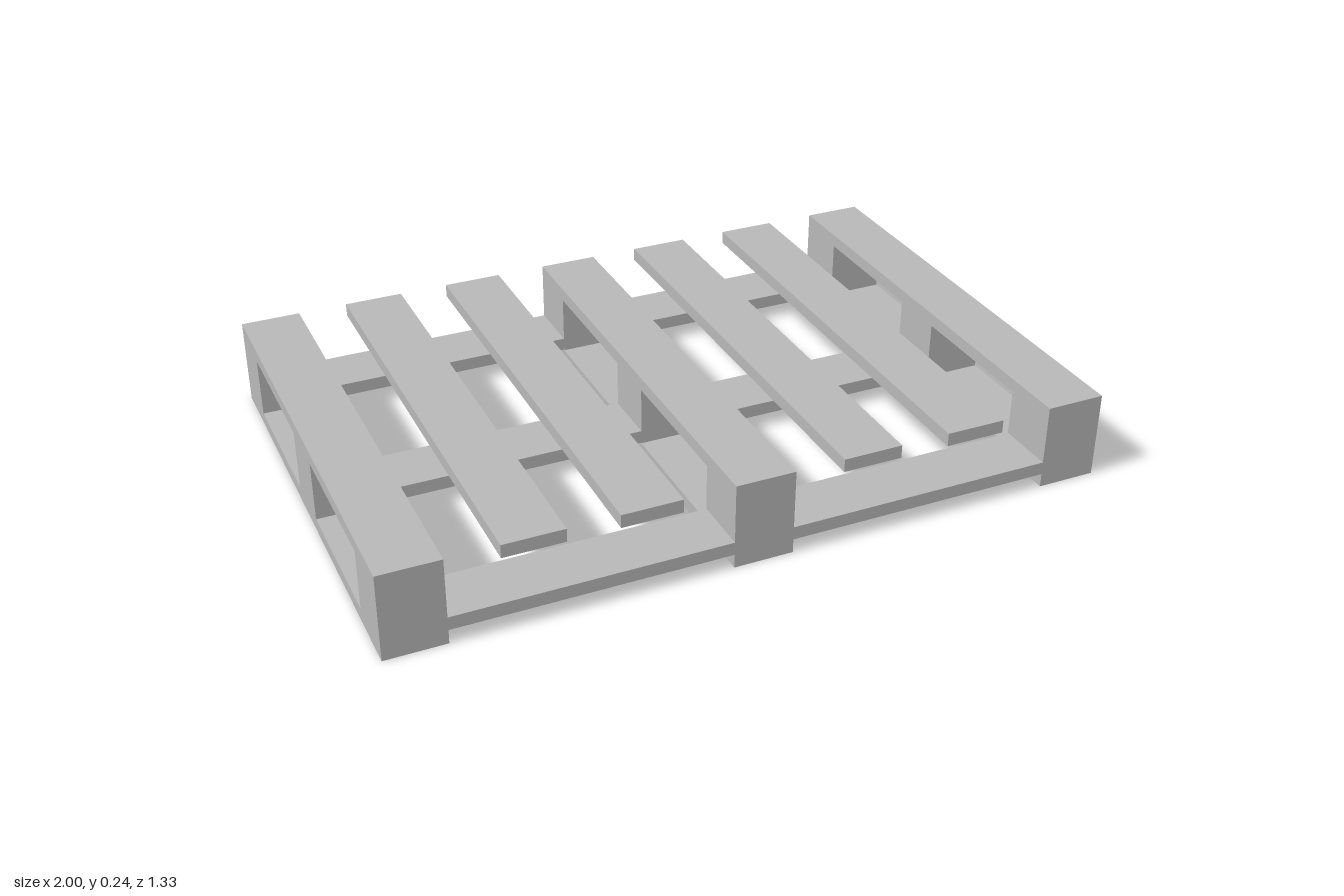
import * as THREE from 'three';

const WIDTH = 0.166;     // width of every board
const HALF_DEPTH = 0.667;
const BOARD = 0.037;     // board thickness
const HEIGHT = 0.243;

export function createModel() {
  const pallet = new THREE.Group();
  pallet.name = 'pallet';
  const grey = new THREE.MeshStandardMaterial({ color: 0xb8b8b8 });
  grey.name = 'plain grey';

  const add = (geometry, name, x, y, z) => {
    const mesh = new THREE.Mesh(geometry, grey);
    mesh.name = name;
    mesh.position.set(x, y, z);
    pallet.add(mesh);
  };

  const rectangle = (target, z0, y0, z1, y1) =>
    target.moveTo(z0, y0).lineTo(z1, y0).lineTo(z1, y1).lineTo(z0, y1).closePath();

  // Runners: bottom board, three blocks and top board with two fork openings
  const side = rectangle(new THREE.Shape(), -HALF_DEPTH, 0, HALF_DEPTH, HEIGHT);
  for (const z of [-0.5, WIDTH / 2]) {
    side.holes.push(rectangle(new THREE.Path(), z, BOARD, z + 0.5 - WIDTH / 2, HEIGHT - BOARD));
  }
  const runner = new THREE.ExtrudeGeometry(side, { depth: WIDTH, bevelEnabled: false });
  runner.translate(0, 0, -WIDTH / 2).rotateY(Math.PI / 2);
  const edge = 1 - WIDTH / 2;
  [['rightRunner', -edge], ['middleRunner', 0], ['leftRunner', edge]]
    .forEach(([name, x]) => add(runner, name, x, 0, 0));

  // Cross boards resting on the bottom boards, between the runners
  const span = 1 - 1.5 * WIDTH;
  const cross = new THREE.BoxGeometry(span, BOARD, WIDTH);
  for (const z of [-HALF_DEPTH + WIDTH / 2, 0, HALF_DEPTH - WIDTH / 2]) {
    for (const s of [-1, 1]) add(cross, 'crossBoard', s * (WIDTH + span) / 2, BOARD * 1.5 + 0.002, z);
  }

  // Loose top slats between the runners
  const slat = new THREE.BoxGeometry(WIDTH, BOARD, HALF_DEPTH * 2);
  for (const x of [-0.612, -0.307, 0.303, 0.607]) add(slat, 'topSlat', x, HEIGHT - BOARD / 2, 0);

  return pallet;
}
